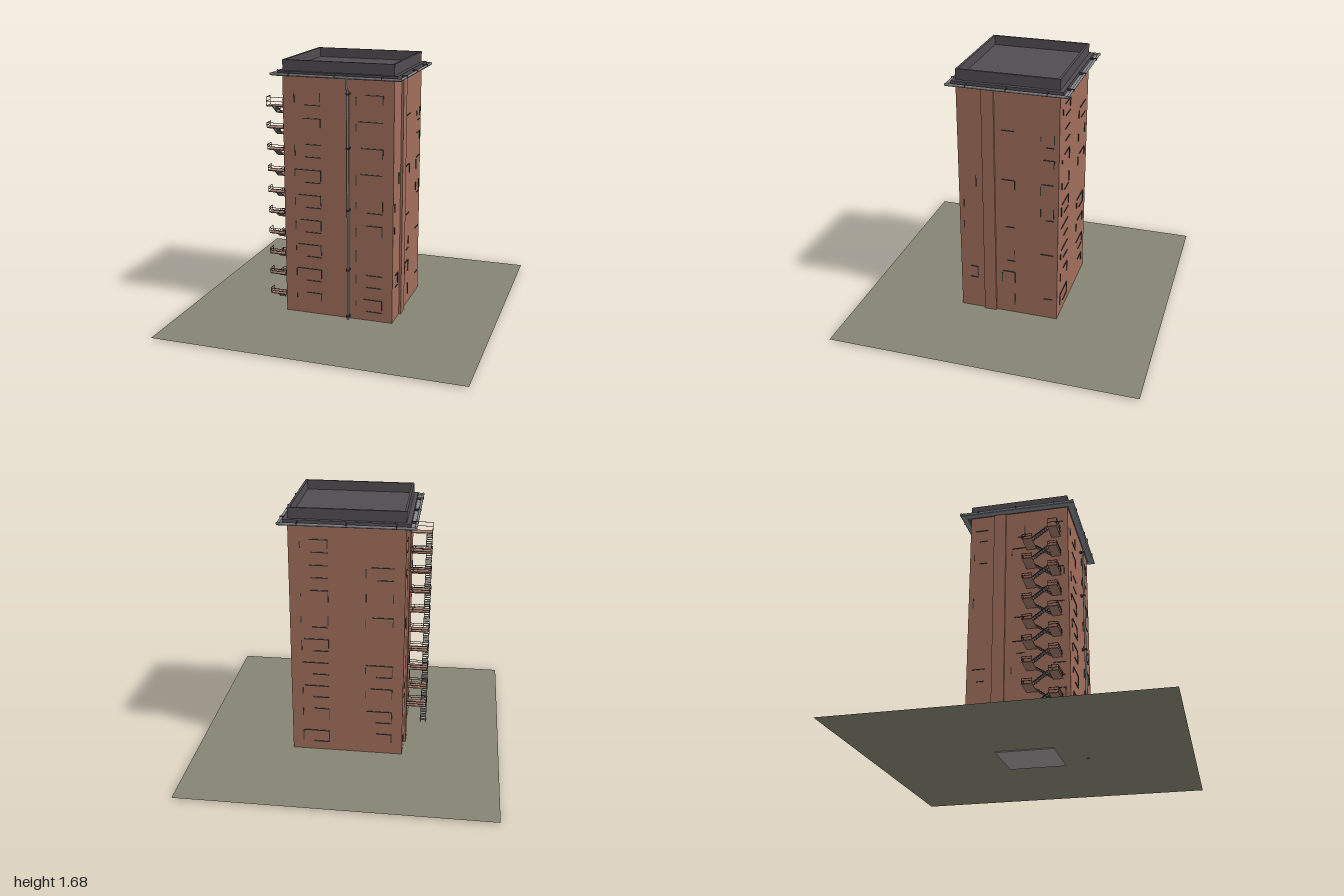
import * as THREE from 'three';

const mat = (name, color) => Object.assign(new THREE.MeshStandardMaterial({ color }), { name });

export function createModel() {
  const model = new THREE.Group();
  model.name = 'apartmentTower';
  const brick = mat('brick', 0xa16e5c), roofGrey = mat('roofGrey', 0x514c51);
  const pavement = mat('pavement', 0x868474), concrete = mat('concrete', 0xa39c9e);
  const zinc = mat('zinc', 0x83858a), iron = mat('darkIron', 0x3a3433);
  const frameDark = mat('frameDark', 0x36403f), landingBrown = mat('landingBrown', 0xa07a6b);
  pavement.side = THREE.DoubleSide;

  const add = (parent, name, geo, material, x = 0, y = 0, z = 0) => {
    const m = new THREE.Mesh(geo, material);
    m.name = name;
    m.position.set(x, y, z);
    parent.add(m);
    return m;
  };
  // Box given by its limits on each axis
  const box = (parent, name, material, x0, x1, y0, y1, z0, z1) =>
    add(parent, name, new THREE.BoxGeometry(x1 - x0, y1 - y0, z1 - z0), material,
      (x0 + x1) / 2, (y0 + y1) / 2, (z0 + z1) / 2);
  // Straight square bar between two points
  const bar = (parent, name, material, a, b, t) => {
    const p = new THREE.Vector3(...a), q = new THREE.Vector3(...b);
    const m = add(parent, name, new THREE.BoxGeometry(t, t, p.distanceTo(q)), material);
    m.position.copy(p).lerp(q, 0.5);
    m.lookAt(q);
    return m;
  };
  // Hollow rectangle, extruded upward from y
  const ring = (parent, name, material, ox, oz, ix, iz, y, h) => {
    const rect = (P, a, b) => {
      const p = new P();
      p.moveTo(-a, -b); p.lineTo(a, -b); p.lineTo(a, b); p.lineTo(-a, b); p.closePath();
      return p;
    };
    const s = rect(THREE.Shape, ox, oz);
    s.holes.push(rect(THREE.Path, ix, iz));
    const g = new THREE.ExtrudeGeometry(s, { depth: h, bevelEnabled: false }).rotateX(-Math.PI / 2);
    return add(parent, name, g, material, 0, y, 0);
  };
  let seed = 7;
  const rand = () => (seed = (seed * 16807) % 2147483647) / 2147483647;

  // Ground sheet and the small footing below it
  add(model, 'ground', new THREE.PlaneGeometry(2, 2).rotateX(-Math.PI / 2), pavement, 0, 0.008, 0);
  box(model, 'footing', concrete, -0.185, 0.185, 0, 0.006, -0.185, 0.185);

  // Tower body with one pilaster on each side wall
  const W = 0.363, D = 0.328;
  box(model, 'tower', brick, -W, W, 0.01, 1.59, -D, D);
  box(model, 'rightPilaster', brick, W - 0.01, 0.377, 0.01, 1.585, 0.085, 0.165);
  box(model, 'leftPilaster', brick, -0.377, -W + 0.01, 0.01, 1.585, -0.165, -0.085);

  // Flat roof, eave and parapet
  box(model, 'eave', roofGrey, -0.388, 0.388, 1.588, 1.612, -0.354, 0.35);
  ring(model, 'parapet', roofGrey, 0.362, D, 0.347, 0.313, 1.61, 0.07);
  box(model, 'roofDeck', roofGrey, -0.35, 0.35, 1.6, 1.618, -0.316, 0.316);

  // Gutter: shallow trough, rounded lip and brackets
  const gutter = new THREE.Group();
  gutter.name = 'gutter';
  gutter.position.set(-0.004, 0, -0.006);
  model.add(gutter);
  const GX = 0.415, GZ = 0.377, GY = 1.594;
  ring(gutter, 'gutterBed', zinc, GX, GZ, 0.38, 0.345, 1.583, 0.004);
  for (const s of [-1, 1]) {
    const along = new THREE.CylinderGeometry(0.008, 0.008, 2 * GX + 0.016, 8).rotateZ(Math.PI / 2);
    add(gutter, 'gutterLip', along, zinc, 0, GY, s * GZ);
    const across = new THREE.CylinderGeometry(0.008, 0.008, 2 * GZ + 0.016, 8).rotateX(Math.PI / 2);
    add(gutter, 'gutterLip', across, zinc, s * GX, GY, 0);
    for (const k of [-0.3, 0, 0.3]) {
      box(gutter, 'gutterBracket', iron, k - 0.003, k + 0.003, 1.59, 1.604, s * 0.368 - 0.02, s * 0.368 + 0.02);
      box(gutter, 'gutterBracket', iron, s * 0.405 - 0.02, s * 0.405 + 0.02, 1.59, 1.604, k * 0.85 - 0.003, k * 0.85 + 0.003);
    }
  }

  // Downpipe with its swan neck, and the clips that hold it
  const path = new THREE.CurvePath();
  const pts = [[0, 0.35], [1.505, 0.35], [1.53, 0.38], [1.595, 0.38]].map(([y, z]) => new THREE.Vector3(0.073, y, z));
  for (let i = 0; i < 3; i++) path.add(new THREE.LineCurve3(pts[i], pts[i + 1]));
  add(model, 'downpipe', new THREE.TubeGeometry(path, 90, 0.0075, 8), zinc);
  for (const y of [0.03, 0.35, 0.75, 1.15, 1.49])
    box(model, 'pipeClip', iron, 0.063, 0.083, y - 0.006, y + 0.006, D, 0.36);

  // Window frames: pieces of outline standing just proud of the brick
  const wall = (name, turn, depth, centres, width, share) => {
    const g = new THREE.Group();
    g.name = name;
    g.rotation.y = turn;
    model.add(g);
    for (let i = 0; i < 9; i++) for (const c of centres) {
      const top = 1.484 - 0.1665 * i, low = top - 0.082, l = c - width / 2, r = c + width / 2;
      const z0 = depth - 0.004, z1 = depth + 0.005, t = 0.005;
      const level = (y, a, b) => box(g, 'windowFrame', frameDark, a, b, y - t / 2, y + t / 2, z0, z1);
      const upright = (x, a, b) => box(g, 'windowFrame', frameDark, x - t / 2, x + t / 2, a, b, z0, z1);
      const cut = width * 0.45 * rand();
      if (rand() < share + 0.2) level(top, l + cut, r);
      if (rand() < share) level(low, l + width * 0.4, r);
      if (rand() < share) upright(r, low + 0.03 * rand(), top);
      if (rand() < share) upright(l, low + 0.04 * rand(), top - 0.02 * rand());
    }
  };
  wall('frontWindows', 0, D, [-0.202, 0.207], 0.172, 0.65);
  wall('backWindows', Math.PI, D, [-0.205, 0.205], 0.172, 0.65);
  wall('rightWindows', Math.PI / 2, W, [-0.255, 0, 0.255], 0.085, 0.25);
  wall('leftWindows', -Math.PI / 2, W, [-0.255, 0, 0.255], 0.085, 0.25);

  // Fire escape: landings at both ends joined by outer and inner flights
  const escape = new THREE.Group();
  escape.name = 'fireEscape';
  model.add(escape);
  const X0 = -0.497, X1 = -W, rail = 0.0028;
  const landing = (y, z0, z1, end, height) => {
    box(escape, 'landing', landingBrown, X0, X1, y - 0.006, y, z0, z1);
    for (const [x, z] of [[X0, z0], [X0, z1], [-0.385, end]])
      bar(escape, 'railPost', iron, [x, y, z], [x, y + height, z], rail);
    for (const h of [height * 0.5, height]) {
      bar(escape, 'sideRail', iron, [X0, y + h, z0], [X0, y + h, z1], rail);
      bar(escape, 'endRail', iron, [X0, y + h, end], [X1, y + h, end], rail);
    }
  };
  const flight = (xa, xb, yTop, zTop, yLow, zLow) => {
    for (const x of [xa, xb]) bar(escape, 'stringer', iron, [x, yTop, zTop], [x, yLow, zLow], 0.004);
    for (let i = 1; i <= 6; i++) {
      const f = i / 7, y = yTop + (yLow - yTop) * f, z = zTop + (zLow - zTop) * f;
      box(escape, 'tread', zinc, xa, xb, y - 0.0015, y + 0.0015, z - 0.008, z + 0.008);
    }
  };
  for (let k = 0; k < 10; k++) {
    const y = 1.375 - 0.142 * k, half = k < 9 ? y - 0.071 : 0.01;
    landing(y, 0.22, 0.28, 0.28, k ? 0.03 : 0.055);
    flight(X0, -0.46, y, 0.22, half, 0.12);
    if (k < 9) {
      landing(half, 0.055, 0.12, 0.055, 0.03);
      flight(-0.4, -0.368, half, 0.12, y - 0.142, 0.22);
    }
  }
  return model;
}
